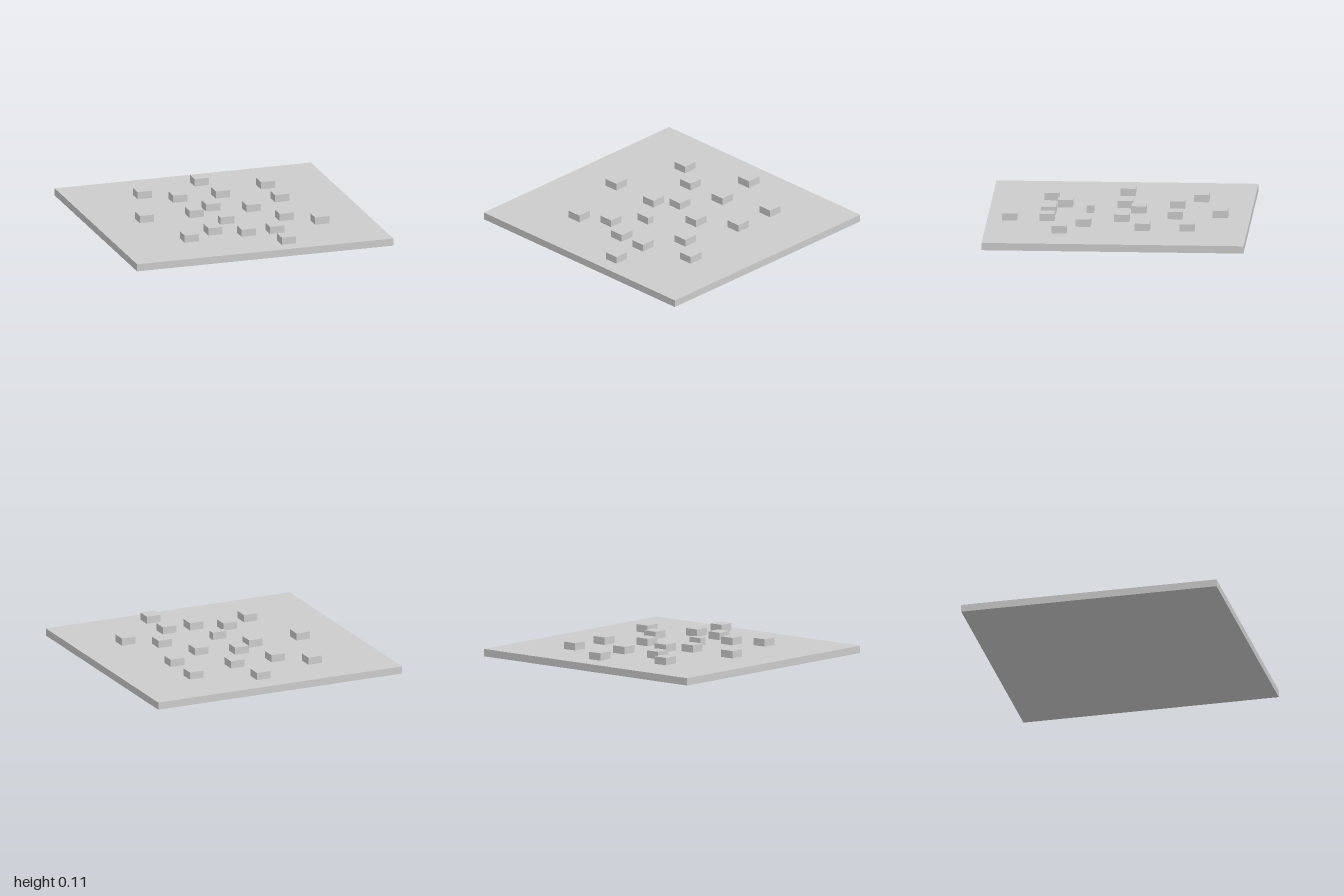
import * as THREE from 'three';

// Everything sits on a grid of 36 x 35 cells
const U = 1 / 18;

export function createModel() {
  const model = new THREE.Group();
  const material = new THREE.MeshStandardMaterial({ color: 0xcccccc, flatShading: true });

  // Box given in grid cells, standing at height y
  const addBox = (name, w, d, x, y, z) => {
    const mesh = new THREE.Mesh(new THREE.BoxGeometry(w * U, U, d * U), material);
    mesh.position.set(x * U, (y + 0.5) * U, z * U);
    mesh.name = name;
    model.add(mesh);
  };

  // Base slab
  addBox('baseSlab', 36, 35, 0, 0, 0);

  // Square raised blocks: centre x, z
  const blocks = [
    [1, -13.5], [-8, -10.5], [9, -9.5], [-4, -7.5], [2, -7.5], [9, -3.5],
    [-1, -2.5], [-11, -0.5], [-4, -0.5], [4, -0.5], [7, 4.5], [-4, 7.5],
    [11, 7.5], [-8, 9.5], [0, 9.5], [4, 9.5], [4, 14.5],
  ];
  blocks.forEach(([x, z], i) => addBox(`raisedBlock${i + 1}`, 2, 2, x, 1, z));

  // Single half-depth block
  addBox('halfBlock', 2, 1, -1, 1, 4);

  return model;
}
